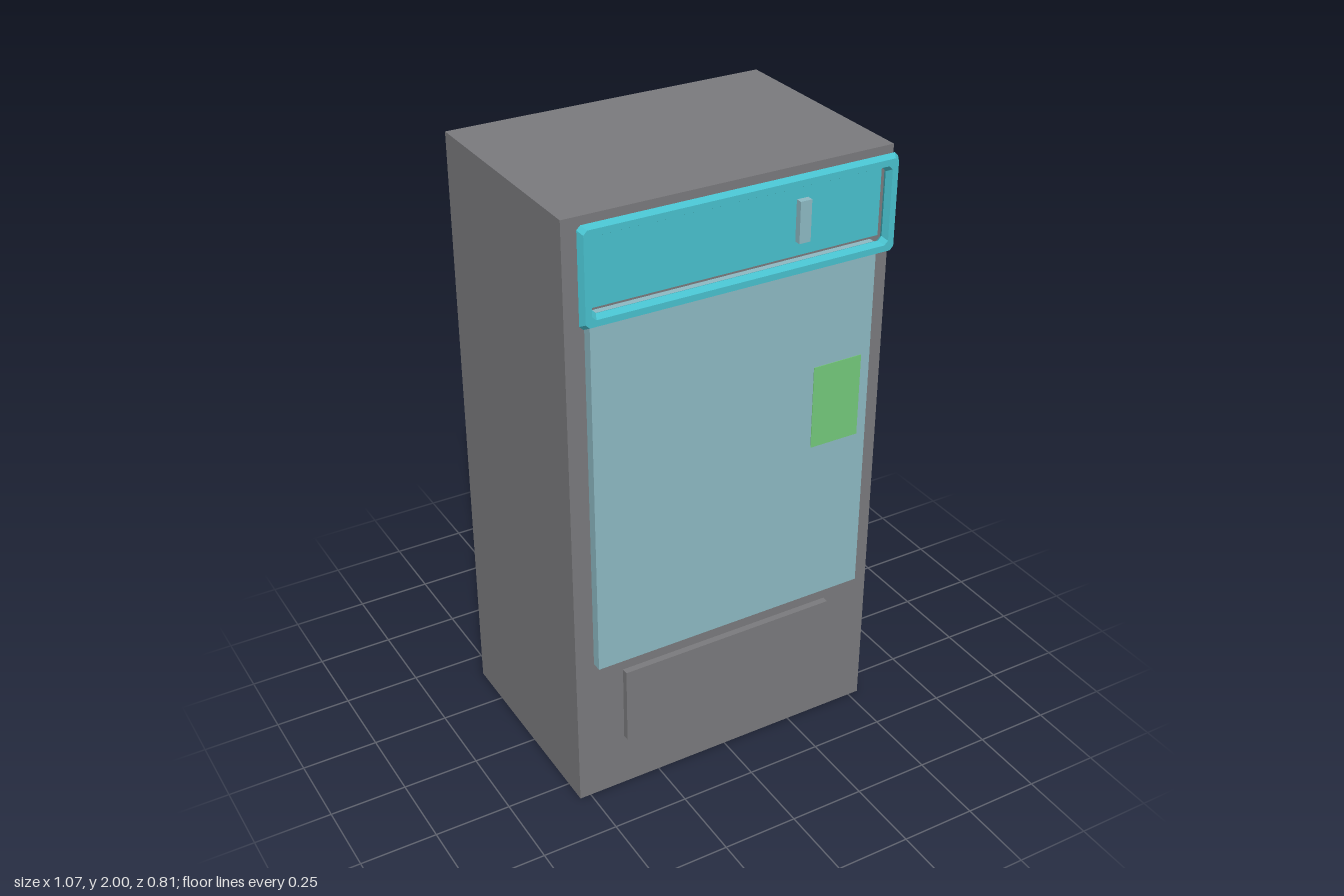
import * as THREE from 'three';

const mat = (name, color, extra = {}) => {
  const m = new THREE.MeshStandardMaterial({ color, ...extra });
  m.name = name;
  return m;
};

export function createModel() {
  const group = new THREE.Group();
  const grey = mat('cabinet grey', 0x7a7a7d);
  const teal = mat('sign teal', 0x48c0cd, { flatShading: true });
  const glass = mat('pale blue panel', 0x8db9c3);
  const green = mat('label green', 0x74c97b);

  // Box given by its limits on each axis
  const box = (name, material, [x0, x1], [y0, y1], [z0, z1]) => {
    const mesh = new THREE.Mesh(new THREE.BoxGeometry(x1 - x0, y1 - y0, z1 - z0), material);
    mesh.position.set((x0 + x1) / 2, (y0 + y1) / 2, (z0 + z1) / 2);
    mesh.name = name;
    group.add(mesh);
  };

  box('cabinet', grey, [-0.537, 0.537], [0, 2], [-0.404, 0.331]);
  box('collectionFlap', grey, [-0.375, 0.373], [0.19, 0.456], [0.331, 0.353]);
  box('frontPanel', glass, [-0.475, 0.472], [0.517, 1.717], [0.331, 0.364]);
  box('label', green, [0.27, 0.44], [1.08, 1.357], [0.363, 0.366]);
  box('signPanel', teal, [-0.485, 0.483], [1.735, 1.96], [0.331, 0.352]);
  box('slot', glass, [0.19, 0.228], [1.783, 1.912], [0.357, 0.378]);

  // Sign frame: a hexagonal section carried around a rectangle with cut corners
  const section = [[0.02, 0], [0.01, 0.0195], [-0.01, 0.0195], [-0.02, 0], [-0.01, -0.0195], [0.01, -0.0195]];
  const sides = section.length, corners = 8, cut = 0.012;
  const positions = [], index = [];
  for (const [d, z] of section) {
    const w = 0.495 + d, h = 0.1325 + d;
    const loop = [
      [w, -h + cut], [w, h - cut], [w - cut, h], [-w + cut, h],
      [-w, h - cut], [-w, -h + cut], [-w + cut, -h], [w - cut, -h],
    ];
    for (const [x, y] of loop) positions.push(x, y, z);
  }
  for (let i = 0; i < sides; i++) {
    for (let j = 0; j < corners; j++) {
      const a = i * corners + j;
      const b = i * corners + (j + 1) % corners;
      const c = ((i + 1) % sides) * corners + (j + 1) % corners;
      const e = ((i + 1) % sides) * corners + j;
      index.push(a, b, c, a, c, e);
    }
  }
  const frameGeometry = new THREE.BufferGeometry();
  frameGeometry.setAttribute('position', new THREE.Float32BufferAttribute(positions, 3));
  frameGeometry.setIndex(index);
  const flat = frameGeometry.toNonIndexed();
  flat.computeVertexNormals();
  const frame = new THREE.Mesh(flat, teal);
  frame.name = 'signFrame';
  frame.position.set(-0.001, 1.8465, 0.383);
  group.add(frame);

  return group;
}
